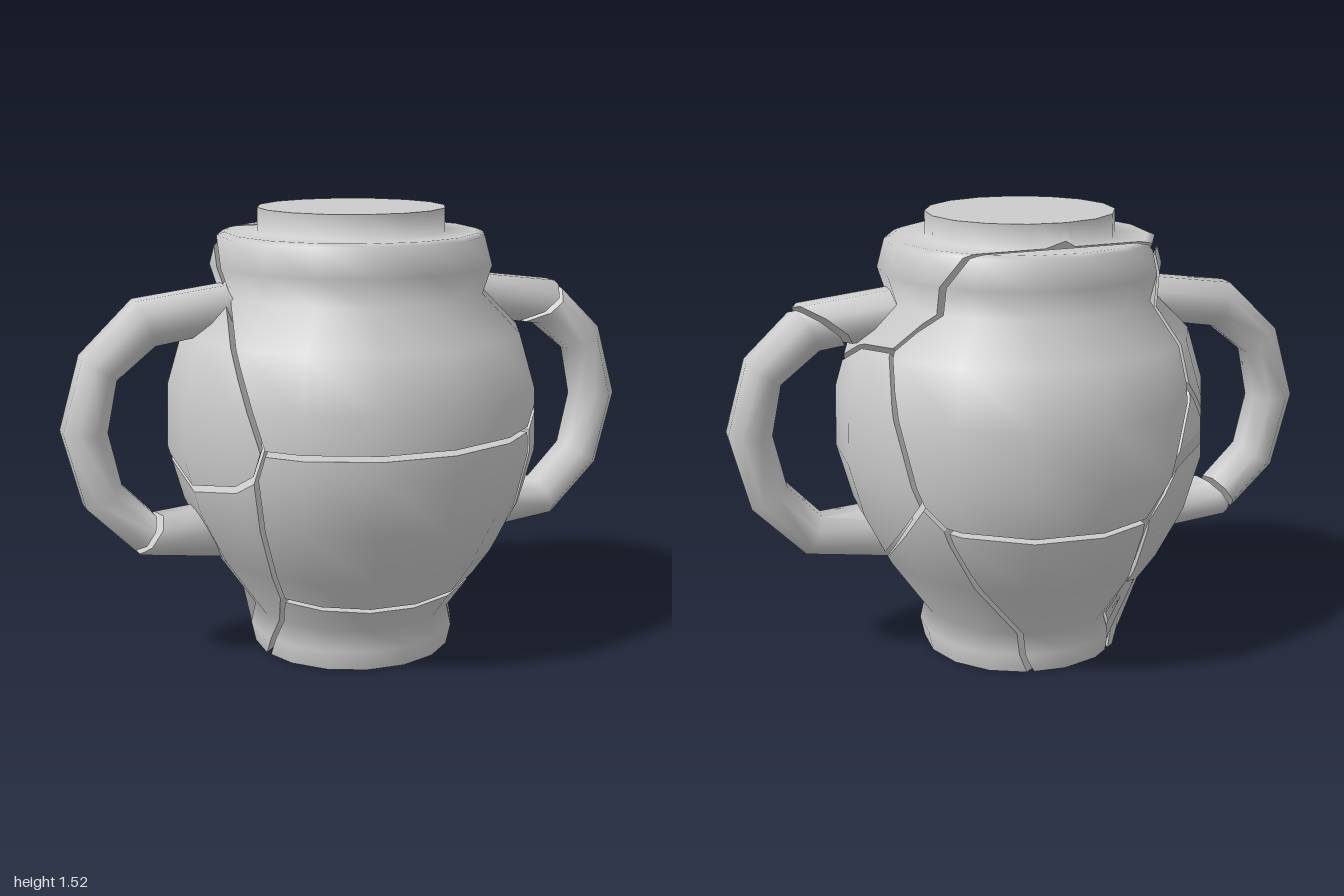
import * as THREE from 'three';
import { mergeGeometries, toCreasedNormals } from 'three/addons/utils/BufferGeometryUtils.js';

const SIDES = 16;
const HALF_GAP = 0.009;

// Each shard is the region where its linear function a*x + b*y + c*z + d is the largest.
const SHARDS = {
  topShard: [0, 1, 0, -0.801],
  frontShard: [0, 0, 0, 0],
  leftShard: [0.766, 0.058, -0.46, -0.231],
  rightShard: [-1.45, 0.472, -0.621, -0.763],
  backShard: [-0.18, 0.4375, -1.25, -0.3925],
  lowerLeftShard: [0.27, -0.294, -0.665, 0.131],
  lowerBackShard: [-0.18, -0.15, -1.15, -0.005],
  sideBackShard: [-1.044, -0.1, -0.96, -0.18],
  lowerRightShard: [-0.81, 0.024, -0.76, -0.085],
  footShard: [0, -0.45, -0.068, 0.13],
};

// Plane of the crack beside shard a, facing into a and moved in by half the gap.
function crackPlane(a, b) {
  const [x, y, z, d] = SHARDS[a].map((v, i) => v - SHARDS[b][i]);
  const plane = new THREE.Plane(new THREE.Vector3(x, y, z), d).normalize();
  plane.constant -= HALF_GAP;
  return plane;
}

function toTriangles(geometry) {
  const { position, normal } = geometry.attributes;
  const corners = [];
  for (let i = 0; i < position.count; i++) {
    corners.push({
      p: new THREE.Vector3().fromBufferAttribute(position, i),
      n: new THREE.Vector3().fromBufferAttribute(normal, i),
    });
  }
  const triangles = [];
  for (let i = 0; i < corners.length; i += 3) triangles.push(corners.slice(i, i + 3));
  return triangles;
}

// Keeps the part in front of the plane and closes the cut with a flat wall.
function clip(triangles, plane) {
  const kept = [];
  const cuts = [];
  for (const tri of triangles) {
    const dist = tri.map((v) => plane.distanceToPoint(v.p));
    const poly = [];
    let entry, exit;
    for (let i = 0; i < 3; i++) {
      const j = (i + 1) % 3;
      if (dist[i] >= 0) poly.push(tri[i]);
      if ((dist[i] >= 0) !== (dist[j] >= 0)) {
        const t = dist[i] / (dist[i] - dist[j]);
        const v = {
          p: tri[i].p.clone().lerp(tri[j].p, t),
          n: tri[i].n.clone().lerp(tri[j].n, t).normalize(),
        };
        poly.push(v);
        if (dist[i] >= 0) exit = v.p;
        else entry = v.p;
      }
    }
    for (let i = 2; i < poly.length; i++) kept.push([poly[0], poly[i - 1], poly[i]]);
    if (entry && exit) cuts.push([entry, exit]);
  }
  if (cuts.length) {
    const centre = new THREE.Vector3();
    let total = 0;
    for (const [a, b] of cuts) {
      const length = a.distanceTo(b);
      centre.addScaledVector(a, length / 2).addScaledVector(b, length / 2);
      total += length;
    }
    centre.divideScalar(total || 1);
    const n = plane.normal.clone().negate();
    for (const [a, b] of cuts) kept.push([{ p: a, n }, { p: b, n }, { p: centre, n }]);
  }
  return kept;
}

function makeMesh(name, triangles, material) {
  const corners = triangles.flat();
  const geometry = new THREE.BufferGeometry();
  geometry.setAttribute('position', new THREE.Float32BufferAttribute(corners.flatMap((v) => v.p.toArray()), 3));
  geometry.setAttribute('normal', new THREE.Float32BufferAttribute(corners.flatMap((v) => v.n.toArray()), 3));
  const mesh = new THREE.Mesh(geometry, material);
  mesh.name = name;
  return mesh;
}

// Solid jar: flat base, smooth wall from foot to plug, flat top; radii are measured to the flats.
function jarGeometry() {
  const wall = [
    [0.335, 0], [0.35, 0.07], [0.335, 0.14], [0.48, 0.35], [0.57, 0.53],
    [0.622, 0.72], [0.617, 0.93], [0.565, 1.11], [0.44, 1.24], [0.47, 1.335],
    [0.445, 1.43], [0.42, 1.44], [0.312, 1.44], [0.312, 1.52],
  ];
  const base = [[0, 0], [0.335, 0]];
  const top = [[0.312, 1.52], [0, 1.52]];
  return mergeGeometries([base, wall, top].map((profile) => {
    const points = profile.map(([r, y]) => new THREE.Vector2(r / Math.cos(Math.PI / SIDES), y));
    return new THREE.LatheGeometry(points, SIDES, Math.PI / SIDES).toNonIndexed();
  }));
}

// Handle swept through octagonal rings, each given by its outer and inner edge.
function handleGeometry(side) {
  const rings = [
    [0.4, 1.285, 0.4, 1.135], [0.75, 1.24, 0.69, 1.09], [0.93, 1.065, 0.82, 0.985],
    [1, 0.82, 0.855, 0.815], [0.935, 0.565, 0.815, 0.635], [0.76, 0.39, 0.7, 0.515],
    [0.4, 0.345, 0.4, 0.545],
  ];
  const n = 8;
  const grow = 1 / Math.cos(Math.PI / n);
  const positions = [];
  const index = [];
  const quad = (a, b, c, d) => index.push(...(side > 0 ? [a, c, b, a, d, c] : [a, b, c, a, c, d]));
  rings.forEach(([ox, oy, ix, iy], r) => {
    for (let k = 0; k < n; k++) {
      const angle = ((k + 0.5) / n) * Math.PI * 2;
      const u = (Math.cos(angle) * grow) / 2;
      positions.push(
        side * ((ox + ix) / 2 + (ox - ix) * u),
        (oy + iy) / 2 + (oy - iy) * u,
        0.086 * grow * Math.sin(angle),
      );
      const a = r * n + k;
      const b = r * n + ((k + 1) % n);
      if (r < rings.length - 1) quad(a, a + n, b + n, b);
    }
  });
  // Closed ends
  const last = (rings.length - 1) * n;
  for (let k = 1; k < n - 1; k += 2) {
    quad(0, k, k + 1, k + 2);
    quad(last, last + k + 2, last + k + 1, last + k);
  }
  const geometry = new THREE.BufferGeometry();
  geometry.setAttribute('position', new THREE.Float32BufferAttribute(positions, 3));
  geometry.setIndex(index);
  return toCreasedNormals(geometry, 1.1);
}

export function createModel() {
  const model = new THREE.Group();
  model.name = 'crackedJar';
  const material = new THREE.MeshStandardMaterial({ color: 0xcccccc });

  // Jar body broken into shards
  const body = new THREE.Group();
  body.name = 'jarBody';
  const jar = toTriangles(jarGeometry());
  const names = Object.keys(SHARDS);
  for (const name of names) {
    let piece = jar;
    for (const other of names) if (other !== name) piece = clip(piece, crackPlane(name, other));
    body.add(makeMesh(name, piece, material));
  }
  model.add(body);

  // Two handles, each snapped once along the crack between two shards
  for (const [name, side, upper, lower] of [
    ['leftHandle', 1, 'topShard', 'leftShard'],
    ['rightHandle', -1, 'rightShard', 'lowerRightShard'],
  ]) {
    const handle = new THREE.Group();
    handle.name = name;
    const whole = toTriangles(handleGeometry(side));
    handle.add(makeMesh(name + 'Upper', clip(whole, crackPlane(upper, lower)), material));
    handle.add(makeMesh(name + 'Lower', clip(whole, crackPlane(lower, upper)), material));
    model.add(handle);
  }
  return model;
}
